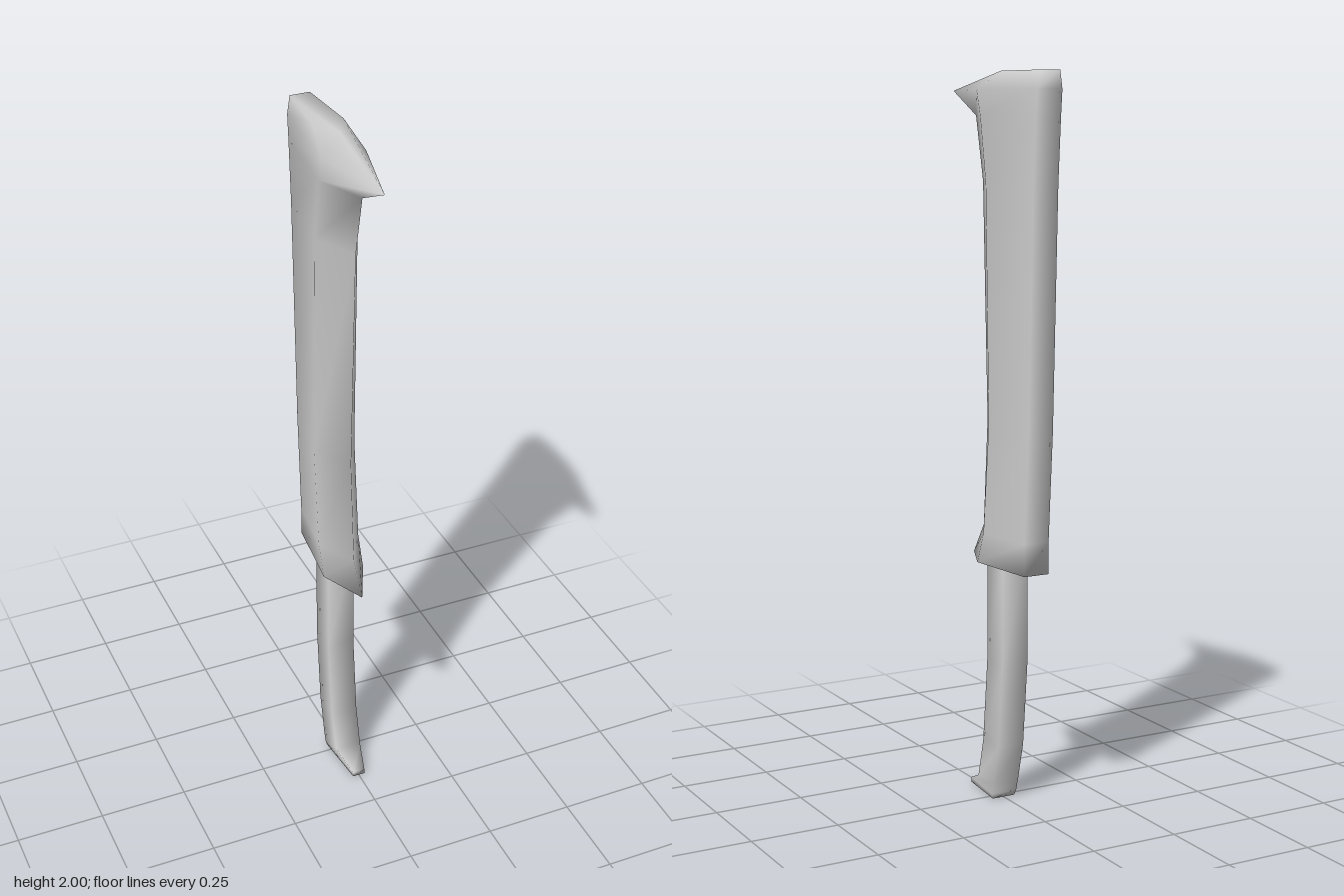
import * as THREE from 'three';

// Skin a bottom-to-top stack of closed rings, cap both ends, shade smoothly
function loft(rings) {
  const n = rings[0].length;
  const index = [];
  for (let i = 0; i < rings.length - 1; i++) {
    for (let j = 0; j < n; j++) {
      const k = (j + 1) % n;
      const a = i * n + j, b = i * n + k, c = a + n, d = b + n;
      index.push(a, b, d, a, d, c);
    }
  }
  const top = (rings.length - 1) * n;
  for (let j = 1; j < n - 1; j++) {
    index.push(0, j + 1, j);
    index.push(top, top + j, top + j + 1);
  }
  const geo = new THREE.BufferGeometry();
  geo.setAttribute('position', new THREE.Float32BufferAttribute(rings.flat(2), 3));
  geo.setIndex(index);
  geo.computeVertexNormals();
  return geo;
}

// Five-sided section: front ridge, wide flanks, narrow back
function gripRing([y, zFront, zFlank, zBack, wFlank, wBack]) {
  return [
    [0, y, zFront],
    [wFlank, y, zFlank], [wBack, y, zBack],
    [-wBack, y, zBack], [-wFlank, y, zFlank],
  ];
}

// Four-cornered section
function stemRing([y, zFront, zBack, wFront, wBack]) {
  return [
    [wFront, y, zFront], [wBack, y, zBack],
    [-wBack, y, zBack], [-wFront, y, zFront],
  ];
}

export function createModel() {
  const model = new THREE.Group();
  const material = new THREE.MeshStandardMaterial({ color: 0xcccccc });
  const add = (name, geometry) => {
    const mesh = new THREE.Mesh(geometry, material);
    mesh.name = name;
    model.add(mesh);
  };

  // Grip: flared foot, slim waist, pointed beak and bevelled top
  // y, front z, flank z, back z, flank half-width, back half-width
  const grip = [
    [0.672, 0.15, 0.02, -0.2, 0.06, 0.037],
    [0.76, 0.092, -0.015, -0.2, 0.06, 0.037],
    [1.06, 0.07, -0.045, -0.22, 0.06, 0.037],
    [1.71, 0.094, -0.03, -0.242, 0.06, 0.037],
    [1.885, 0.133, 0, -0.254, 0.06, 0.037],
    [1.952, 0.263, 0.02, -0.26, 0.06, 0.037],
    [2.0, 0.0, -0.08, -0.264, 0.042, 0.028],
  ];
  add('grip', loft(grip.map(gripRing)));

  // Stem: bent bar ending in a short, tapered forward toe
  // y, front z, back z, front half-width, back half-width
  const stem = [
    [0, 0.135, -0.02, 0.018, 0.034],
    [0.014, 0.135, -0.023, 0.018, 0.039],
    [0.048, 0.056, -0.032, 0.038, 0.04],
    [0.16, 0.026, -0.062, 0.039, 0.039],
    [0.4, 0.002, -0.085, 0.039, 0.039],
    [0.72, 0, -0.085, 0.039, 0.039],
  ];
  add('stem', loft(stem.map(stemRing)));

  return model;
}
